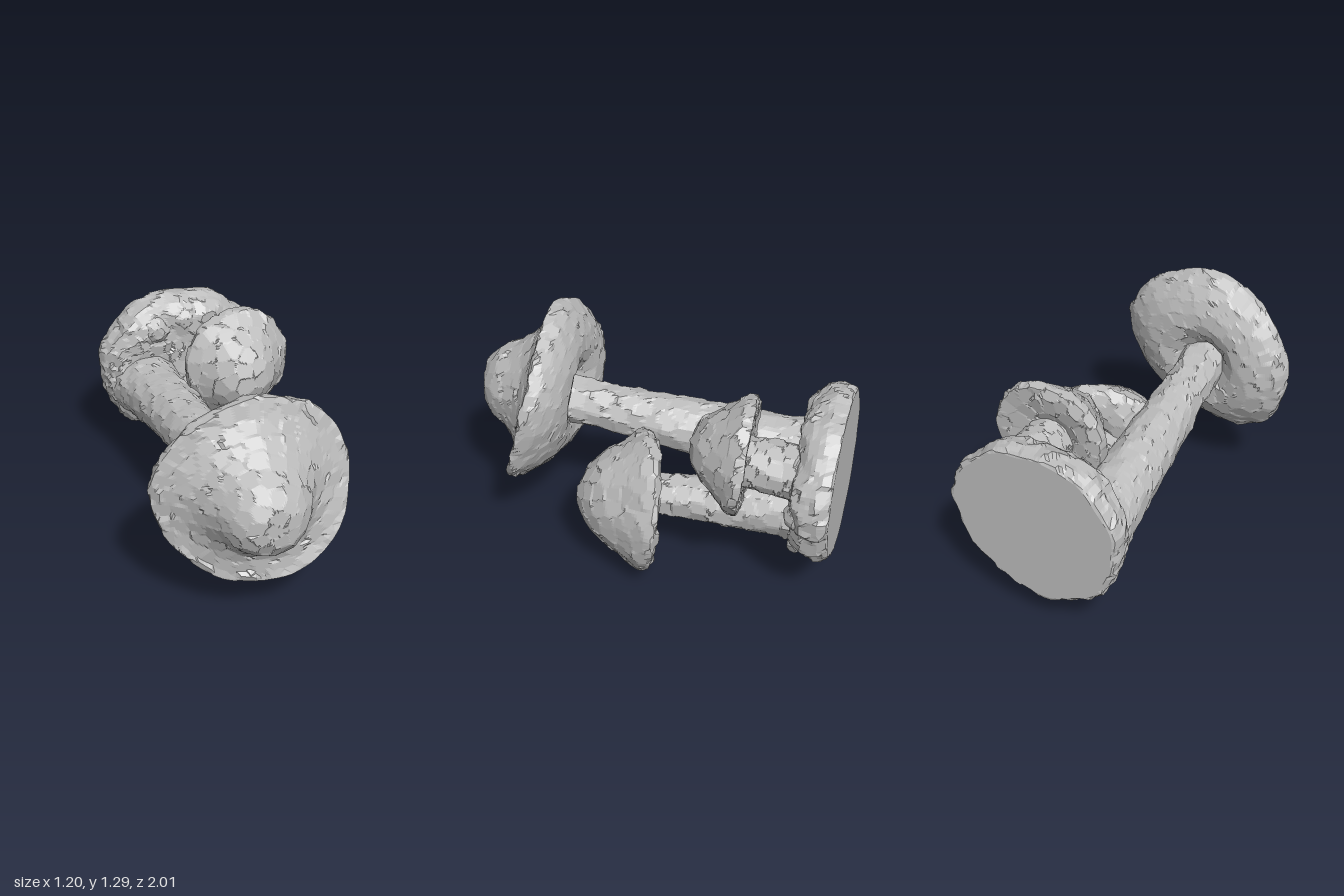
import * as THREE from 'three';
import { mergeVertices } from 'three/addons/utils/BufferGeometryUtils.js';

const stone = new THREE.MeshStandardMaterial({ color: 0xbebebe });
stone.name = 'grey stone';

// Seeded random numbers
let seed = 7;
const rand = () => (seed = (seed * 16807) % 2147483647) / 2147483647;

// Closed loops around z: a (radius, depth) profile from front to back, set in place by a rule
function loops(profile, rows, cols, place) {
  const curve = new THREE.CatmullRomCurve3(profile.map(([r, d]) => new THREE.Vector3(r, d, 0)));
  const pos = [], index = [];
  curve.getSpacedPoints(rows).forEach((p) => {
    for (let j = 0; j < cols; j++) {
      const a = (j / cols) * Math.PI * 2;
      pos.push(...place(a, Math.max(0, p.x), p.y));
    }
  });
  for (let i = 0; i < rows; i++) {
    for (let j = 0; j < cols; j++) {
      const k = (j + 1) % cols;
      const a = i * cols + j, b = a + cols, c = (i + 1) * cols + k, d = i * cols + k;
      index.push(a, b, c, a, c, d);
    }
  }
  const g = new THREE.BufferGeometry();
  g.setAttribute('position', new THREE.Float32BufferAttribute(pos, 3));
  g.setIndex(index);
  return mergeVertices(g, 1e-5);
}

// Cut a surface into flat, slightly tilted cells scattered at the given spacing
function chisel(g, spacing, tilt) {
  g.computeVertexNormals();
  const p = g.attributes.position, n = g.attributes.normal;
  const order = Array.from({ length: p.count }, (_, i) => i);
  // the first vertex stays first, so that a cell is centred on the front pole
  for (let i = order.length - 1; i > 1; i--) {
    const j = 1 + Math.floor(rand() * i);
    [order[i], order[j]] = [order[j], order[i]];
  }
  const cells = [], v = new THREE.Vector3();
  for (const i of order) {
    v.fromBufferAttribute(p, i);
    if (cells.some((c) => c.at.distanceToSquared(v) < spacing * spacing)) continue;
    const normal = new THREE.Vector3().fromBufferAttribute(n, i);
    normal.add(new THREE.Vector3(rand() - 0.5, rand() - 0.5, rand() - 0.5).multiplyScalar(tilt)).normalize();
    cells.push({ at: v.clone(), normal });
  }
  for (let i = 0; i < p.count; i++) {
    v.fromBufferAttribute(p, i);
    if (v.z < -0.995) continue; // the back stays flat
    let best = cells[0], near = Infinity;
    for (const c of cells) {
      const d = c.at.distanceToSquared(v);
      if (d < near) { near = d; best = c; }
    }
    const off = v.clone().sub(best.at).dot(best.normal);
    v.addScaledVector(best.normal, -THREE.MathUtils.clamp(off, -0.02, 0.02));
    p.setXYZ(i, v.x, v.y, Math.max(-1, v.z));
  }
  const flat = g.toNonIndexed();
  flat.computeVertexNormals();
  return flat;
}

function part(name, geometry) {
  const mesh = new THREE.Mesh(geometry, stone);
  mesh.name = name;
  return mesh;
}

// Cap with a wavy rim: lean(a) bends the rim forward or back, lobe(a) widens it, shift moves the dome sideways
function cap({ centre: [x, y, z], rx, ry, shift, lean, lobe, profile }) {
  const g = loops(profile, 84, 120, (a, r, d) => {
    const w = r * (1 + r * (lobe(a) + 0.01 * Math.sin(5 * a + x * 9) + 0.006 * Math.sin(9 * a)));
    return [
      x + shift * Math.max(0, 1 - r) + rx * w * Math.cos(a),
      y + ry * w * Math.sin(a),
      z + d + r * r * lean(a),
    ];
  });
  return chisel(g, 0.068, 0.17);
}

// Tapered stem, front centre to back centre
function stem({ front, back, r0, r1 }) {
  const len = front[2] - back[2];
  const profile = [[r0 * 1.1, 0], [r0, -0.1 * len], [(r0 + r1) / 2, -0.5 * len], [r1, -0.9 * len], [r1 * 1.12, -len]];
  const g = loops(profile, 66, 54, (a, r, d) => {
    const t = -d / len;
    return [
      front[0] + (back[0] - front[0]) * t + r * Math.cos(a),
      front[1] + (back[1] - front[1]) * t + r * Math.sin(a),
      front[2] + d,
    ];
  });
  return chisel(g, 0.068, 0.17);
}

const mushrooms = [
  {
    name: 'largeMushroom', centre: [-0.09, 0.765, 0.64], rx: 0.5, ry: 0.497, shift: -0.03,
    lean: (a) => 0.05 * Math.cos(a) - 0.07 * Math.sin(a) - 0.04 * Math.cos(2 * a) - 0.035 * Math.sin(2 * a),
    lobe: () => 0,
    profile: [[0, 0.36], [0.2, 0.35], [0.38, 0.28], [0.52, 0.16], [0.66, 0.08], [0.84, 0.03], [1, 0],
      [0.98, -0.04], [0.85, -0.11], [0.6, -0.17], [0.4, -0.17], [0.2, -0.11]],
    front: [-0.09, 0.725, 0.56], back: [-0.205, 0.535, -0.85], r0: 0.12, r1: 0.175,
  },
  {
    name: 'lowMushroom', centre: [0.25, 0.39, 0.03], rx: 0.335, ry: 0.385, shift: 0.03,
    lean: (a) => -0.125 * Math.cos(a) - 0.045 * Math.sin(a),
    lobe: (a) => 0.07 * Math.max(0, Math.cos(a - 3.95)) ** 3,
    profile: [[0, 0.33], [0.2, 0.32], [0.44, 0.275], [0.63, 0.21], [0.81, 0.11], [1, 0],
      [0.97, -0.04], [0.8, -0.085], [0.5, -0.085], [0.25, -0.04]],
    front: [0.18, 0.395, 0], back: [0.085, 0.4, -0.85], r0: 0.105, r1: 0.165,
  },
  {
    name: 'smallMushroom', centre: [0.23, 0.785, -0.495], rx: 0.3, ry: 0.31, shift: -0.04,
    lean: (a) => -0.025 * Math.cos(a) - 0.03 * Math.sin(a),
    lobe: () => 0,
    profile: [[0, 0.26], [0.25, 0.25], [0.5, 0.2], [0.72, 0.12], [1, 0],
      [0.98, -0.03], [0.8, -0.045], [0.5, -0.035], [0.25, -0.01]],
    front: [0.23, 0.755, -0.48], back: [0.23, 0.73, -0.86], r0: 0.13, r1: 0.145,
  },
];

export function createModel() {
  const model = new THREE.Group();
  model.name = 'mushroomCluster';

  for (const m of mushrooms) {
    const group = new THREE.Group();
    group.name = m.name;
    group.add(part('cap', cap(m)), part('stem', stem(m)));
    model.add(group);
  }

  // Lumpy round base with a flat back
  const base = loops(
    [[0, -0.8], [0.5, -0.8], [0.78, -0.79], [0.92, -0.83], [0.99, -0.89], [1, -0.95], [0.96, -1], [0.5, -1], [0, -1]],
    80, 130,
    (a, r, d) => {
      const w = r * (1 + 0.02 * Math.sin(3 * a + 1) + 0.015 * Math.sin(7 * a) + 0.01 * Math.sin(11 * a + 2));
      const bump = d > -0.86 ? 0.012 * r * Math.sin(6 * a) : 0;
      return [0.025 + 0.475 * w * Math.cos(a), 0.615 + 0.44 * w * Math.sin(a), Math.max(-1, d + bump)];
    },
  );
  model.add(part('base', chisel(base, 0.055, 0.5)));

  // Small lumps on the front of the base
  for (const [x, y, r] of [[-0.14, 0.89, 0.08], [0.03, 0.93, 0.06], [0.4, 0.6, 0.07], [0.3, 0.35, 0.06]]) {
    const lump = loops([[0, 0.9], [0.6, 0.7], [1, 0], [0.6, -0.7], [0, -0.9]], 14, 24,
      (a, k, d) => [x + r * k * Math.cos(a), y + r * k * Math.sin(a), -0.82 + r * 0.8 * d]);
    model.add(part('baseLump', chisel(lump, 0.045, 0.3)));
  }
  return model;
}
